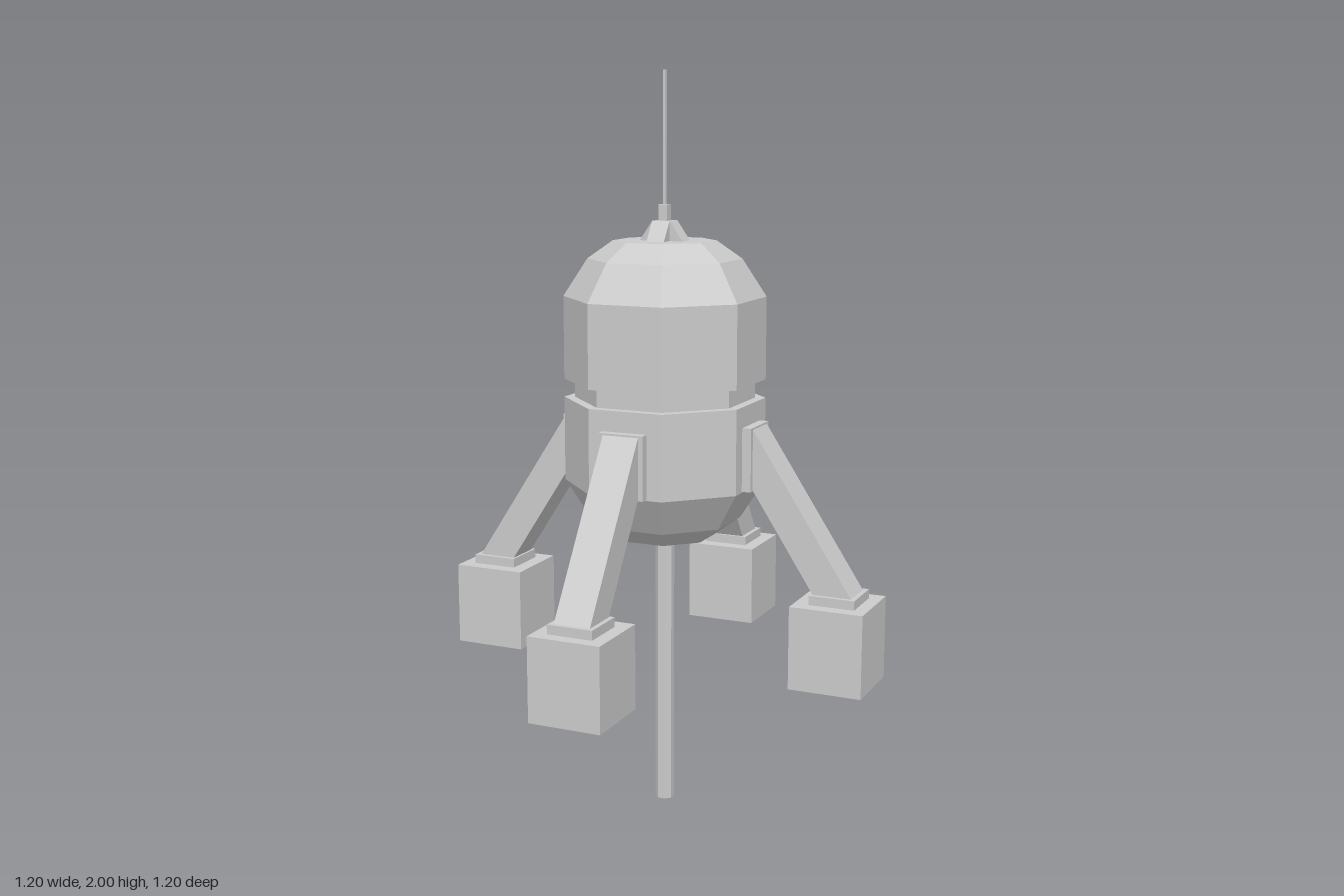
import * as THREE from 'three';

const material = new THREE.MeshStandardMaterial({ color: 0xcccccc, flatShading: true });

function add(parent, name, geometry, x = 0, y = 0, z = 0) {
  const mesh = new THREE.Mesh(geometry, material);
  mesh.name = name;
  mesh.position.set(x, y, z);
  parent.add(mesh);
  return mesh;
}

// Eight-sided turned solid; profile gives [flat-to-flat half width, height] going up
function octagonal(profile) {
  const points = profile.map(([r, y]) => new THREE.Vector2(r / Math.cos(Math.PI / 8), y));
  return new THREE.LatheGeometry(points, 8, Math.PI / 8);
}

// Side outline in x/y, given thickness along z and centred on it
function slab(outline, width) {
  const shape = new THREE.Shape(outline.map(([x, y]) => new THREE.Vector2(x, y)));
  return new THREE.ExtrudeGeometry(shape, { depth: width, bevelEnabled: false })
    .translate(0, 0, -width / 2);
}

// One leg reaching out along +x
function createLeg() {
  const leg = new THREE.Group();
  add(leg, 'mountPlate', new THREE.BoxGeometry(0.035, 0.17, 0.125), 0.2575, 1.0, 0);
  add(leg, 'strut', slab([[0.265, 0.93], [0.275, 0.92], [0.45, 0.65], [0.555, 0.65], [0.275, 1.08], [0.265, 1.08]], 0.1));
  add(leg, 'ankle', new THREE.BoxGeometry(0.125, 0.025, 0.125), 0.5025, 0.6425, 0);
  add(leg, 'foot', new THREE.BoxGeometry(0.2, 0.225, 0.2), 0.5, 0.5175, 0);
  return leg;
}

export function createModel() {
  const model = new THREE.Group();
  model.name = 'probe';

  // Faceted capsule with a recessed waist
  add(model, 'body', octagonal([
    [0, 0.762], [0.127, 0.762], [0.19, 0.81], [0.25, 0.912], [0.25, 1.14],
    [0.224, 1.14], [0.224, 1.19],
    [0.25, 1.19], [0.25, 1.412], [0.19, 1.512], [0.127, 1.56], [0, 1.56],
  ]));

  // Four legs around the body
  ['leftLeg', 'backLeg', 'rightLeg', 'frontLeg'].forEach((name, i) => {
    const leg = createLeg();
    leg.name = name;
    leg.rotation.y = i * Math.PI / 2;
    model.add(leg);
  });

  // Central rod below the body
  add(model, 'rodCollar', octagonal([[0, 0.757], [0.042, 0.757], [0.042, 0.765]]));
  add(model, 'rod', octagonal([[0, 0], [0.024, 0], [0.024, 0.77]]));

  // Crossed sloping fins carrying the antenna
  for (let i = 0; i < 2; i++) {
    const fin = add(model, 'antennaFin', slab([[-0.065, 1.555], [0.065, 1.555], [0.025, 1.612], [-0.025, 1.612]], 0.05));
    fin.rotation.y = i * Math.PI / 2;
  }
  add(model, 'antennaSocket', new THREE.BoxGeometry(0.025, 0.045, 0.025), 0, 1.632, 0);
  add(model, 'antenna', new THREE.BoxGeometry(0.008, 0.36, 0.008), 0, 1.82, 0);

  return model;
}
